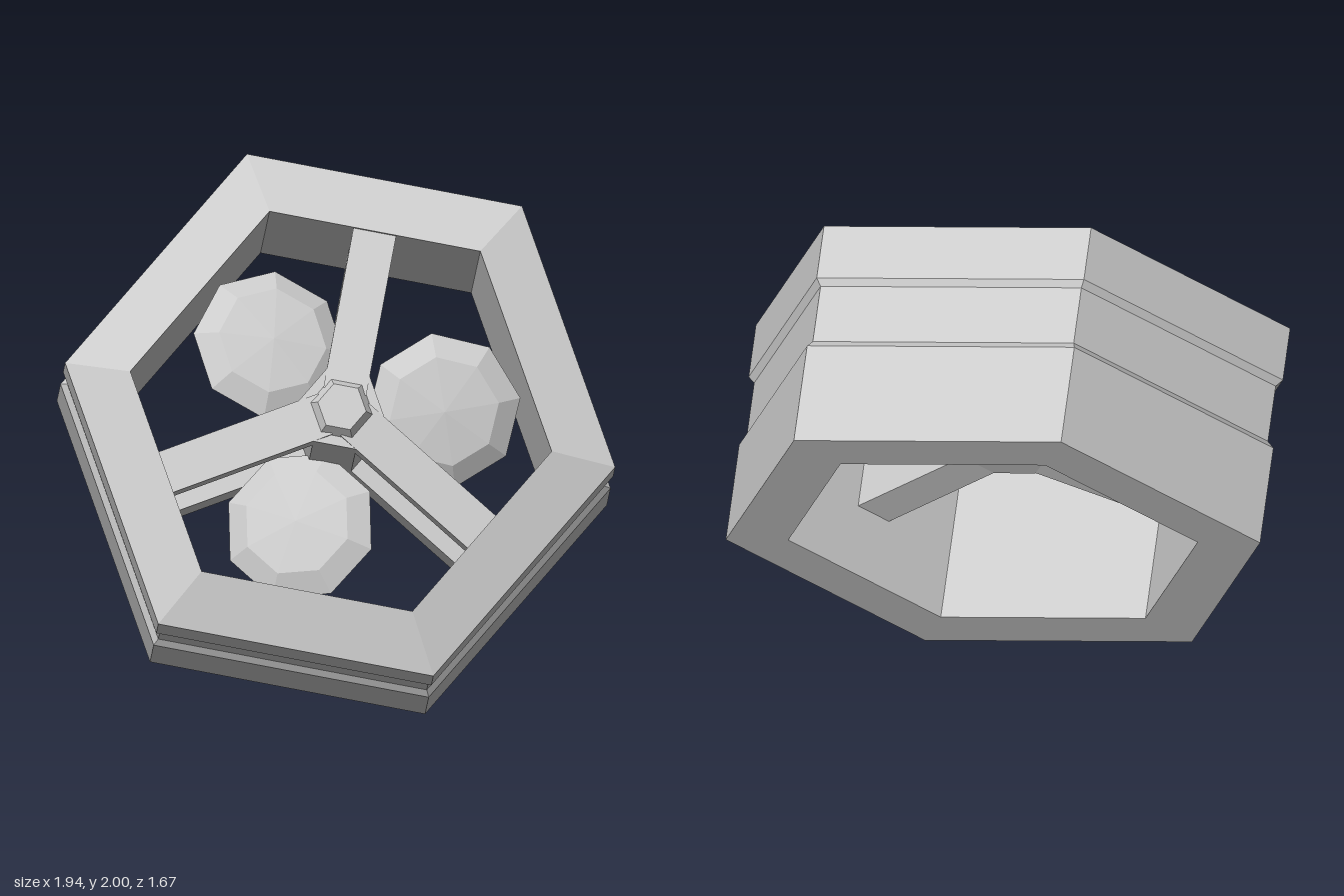
import * as THREE from 'three';

const grey = new THREE.MeshStandardMaterial({ color: 0xcccccc, flatShading: true });
const deg = THREE.MathUtils.degToRad;

function add(parent, name, geometry) {
  const mesh = new THREE.Mesh(geometry, grey);
  mesh.name = name;
  parent.add(mesh);
  return mesh;
}

// Hexagonal prism or frustum along z, from back to front
function hexPrism(rBack, rFront, zBack, zFront) {
  return new THREE.CylinderGeometry(rFront, rBack, zFront - zBack, 6)
    .rotateX(Math.PI / 2)
    .translate(0, 0, (zFront + zBack) / 2);
}

// Spoke along +x that leans back towards its tip
function spokeGeometry(frontAtTip, depth) {
  const inner = 0.06, outer = 0.65, slope = 0.14;
  const g = new THREE.BoxGeometry(outer - inner, 0.15, depth);
  g.translate((inner + outer) / 2, 0, frontAtTip - depth / 2);
  const p = g.attributes.position;
  for (let i = 0; i < p.count; i++) {
    p.setZ(i, p.getZ(i) + (0.64 - p.getX(i)) * slope);
  }
  g.computeVertexNormals();
  return g;
}

// Faceted paddle blade, flattened along z and pitched about its length
function bladeGeometry() {
  return new THREE.SphereGeometry(1, 8, 4)
    .rotateX(Math.PI / 2)
    .scale(0.27, 0.27, 0.07)
    .rotateX(deg(15))
    .translate(0.37, 0, 0.15);
}

export function createModel() {
  const model = new THREE.Group();
  model.name = 'ductedFan';

  // The whole fan is tipped back and rolled
  const tilt = new THREE.Group();
  tilt.name = 'tiltedFan';
  tilt.position.y = 1;
  tilt.rotation.set(deg(-30), 0, deg(13), 'ZXY');
  model.add(tilt);

  const fan = new THREE.Group();
  fan.name = 'fan';
  fan.rotation.z = deg(3.4);
  tilt.add(fan);

  // Hexagonal duct: radius and axial position, with a shallow bevelled groove
  const profile = [
    [0.74, -0.406], [0.966, -0.406], [0.966, -0.047], [0.943, -0.022],
    [0.943, 0.187], [0.966, 0.21], [0.966, 0.406], [0.74, 0.486], [0.74, -0.406],
  ].map(([r, z]) => new THREE.Vector2(r, z));
  add(fan, 'duct', new THREE.LatheGeometry(profile, 6).rotateX(Math.PI / 2));

  // Central hub, shaft and nose
  add(fan, 'frontHub', hexPrism(0.15, 0.15, 0.25, 0.54));
  add(fan, 'shaft', hexPrism(0.15, 0.15, -0.02, 0.25));
  add(fan, 'rearHub', hexPrism(0.15, 0.15, -0.09, 0.08));
  add(fan, 'nose', hexPrism(0.118, 0.085, 0.53, 0.585));

  // Three front spokes, three rear spokes and three blades
  for (let i = 0; i < 3; i++) {
    const turn = i * 120;
    add(fan, 'frontSpoke', spokeGeometry(0.47, 0.09)).rotation.z = deg(60 + turn);
    add(fan, 'rearSpoke', spokeGeometry(0, 0.16)).rotation.z = deg(60 + turn);
    add(fan, 'blade', bladeGeometry()).rotation.z = deg(-10 + turn);
  }

  return model;
}
